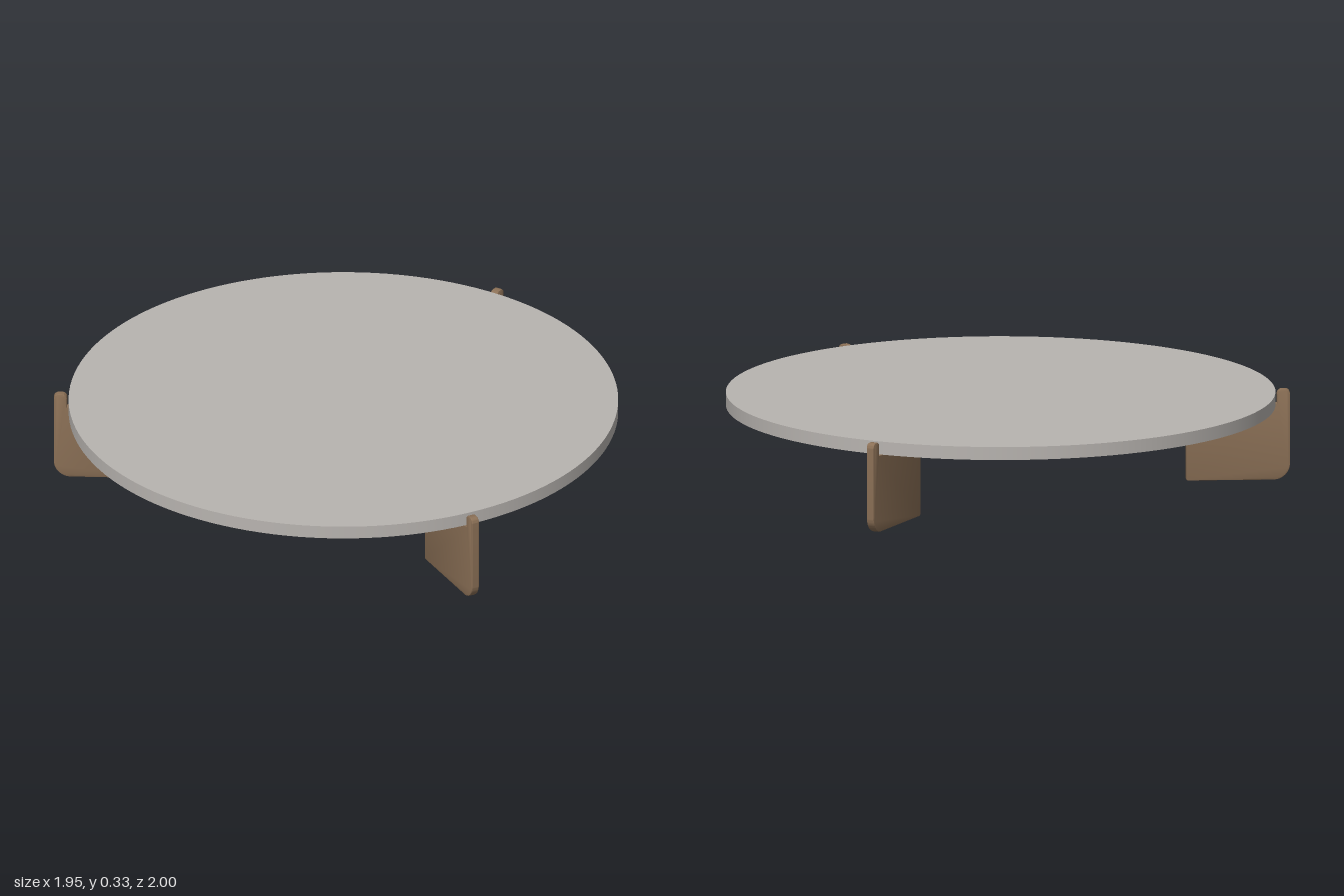
import * as THREE from 'three';
import { toCreasedNormals } from 'three/addons/utils/BufferGeometryUtils.js';

export function createModel() {
  const model = new THREE.Group();
  model.name = 'roundLowTable';

  const stone = new THREE.MeshStandardMaterial({ name: 'warmGrey', color: 0xb8b4b0 });
  const wood = new THREE.MeshStandardMaterial({ name: 'walnutBrown', color: 0x8b7056 });

  const radius = 0.973, topY = 0.327, underY = 0.28, centreZ = -0.026;

  // Round table top
  const top = new THREE.Mesh(new THREE.CylinderGeometry(radius, radius, topY - underY, 128), stone);
  top.name = 'tableTop';
  top.position.set(0, (topY + underY) / 2, centreZ);
  model.add(top);

  // Leg profile: x runs outward from the table centre, a tab rises past the rim
  const inner = 0.656, outer = 1.026, tab = 0.979, foot = 0.06, tip = 0.018, edge = 0.008;
  const legTop = underY - 0.003;
  const profile = new THREE.Shape();
  profile.moveTo(inner + edge, 0);
  profile.lineTo(outer - foot, 0);
  profile.absarc(outer - foot, foot, foot, -Math.PI / 2, 0, false);
  profile.lineTo(outer, topY - tip);
  profile.absarc(outer - tip, topY - tip, tip, 0, Math.PI / 2, false);
  profile.lineTo(tab + tip, topY);
  profile.absarc(tab + tip, topY - tip, tip, Math.PI / 2, Math.PI, false);
  profile.lineTo(tab, legTop);
  profile.lineTo(inner + edge, legTop);
  profile.absarc(inner + edge, legTop - edge, edge, Math.PI / 2, Math.PI, false);
  profile.lineTo(inner, edge);
  profile.absarc(inner + edge, edge, edge, Math.PI, Math.PI * 1.5, false);

  // Softened plank, centred on its thickness
  const thickness = 0.03, bevel = 0.005;
  const plank = new THREE.ExtrudeGeometry(profile, {
    depth: thickness - 2 * bevel, curveSegments: 8, bevelEnabled: true,
    bevelThickness: bevel, bevelSize: bevel, bevelOffset: -bevel, bevelSegments: 2,
  });
  plank.translate(0, 0, bevel - thickness / 2);
  const legGeometry = toCreasedNormals(plank, 0.6);

  // Three legs: one in front, two at the back
  const angles = { frontLeg: -Math.PI / 2, backLeftLeg: Math.PI / 6, backRightLeg: Math.PI * 5 / 6 };
  for (const [name, angle] of Object.entries(angles)) {
    const leg = new THREE.Mesh(legGeometry, wood);
    leg.name = name;
    leg.position.z = centreZ;
    leg.rotation.y = angle;
    model.add(leg);
  }
  return model;
}
